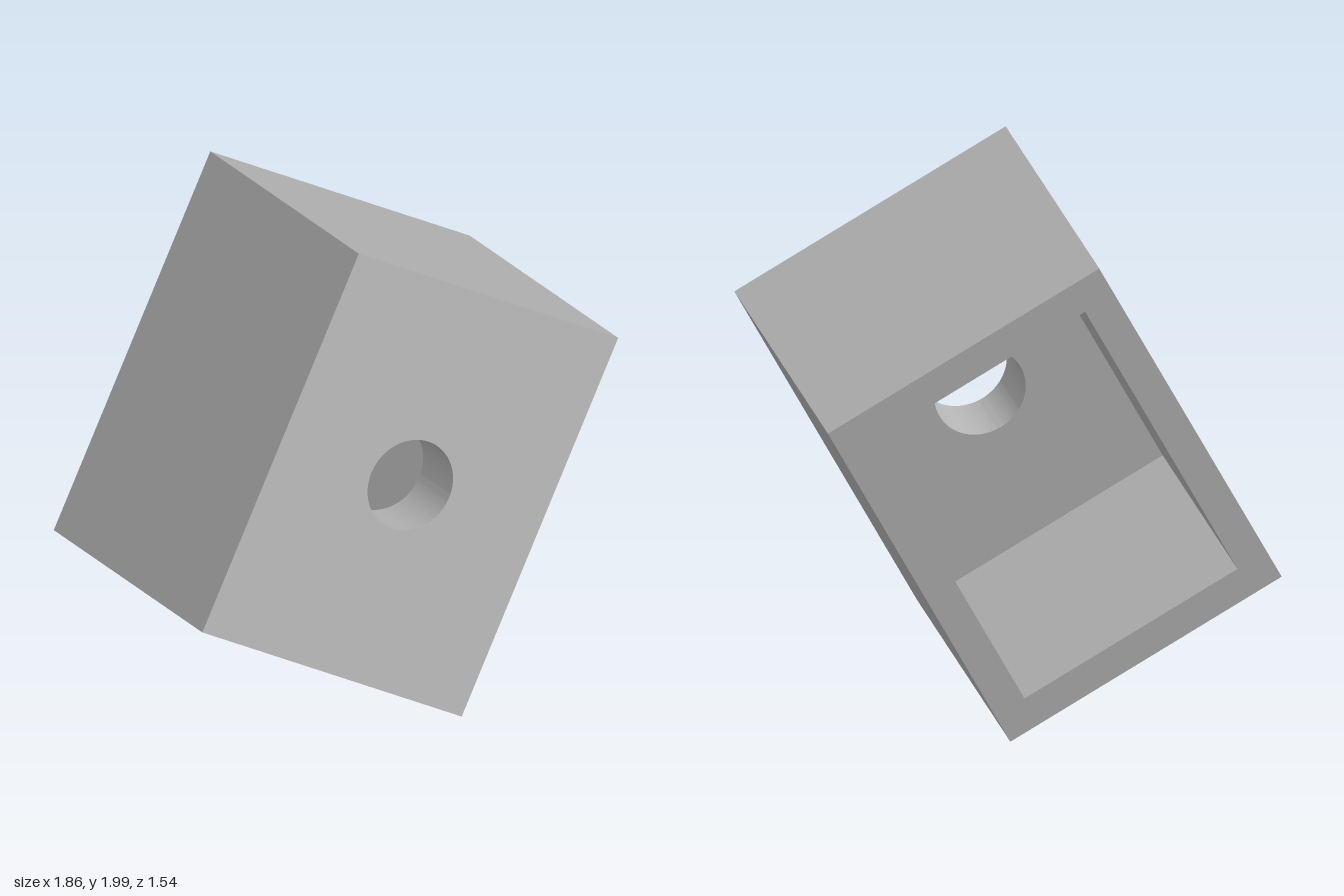
import * as THREE from 'three';
import { toCreasedNormals } from 'three/addons/utils/BufferGeometryUtils.js';

const WIDTH = 1.097, HEIGHT = 1.427, DEPTH = 1.177;
const WALL = 0.118, FRONT_WALL = 0.237, HOLE_RADIUS = 0.164;

// Centred rectangle outline, usable as a shape or as a hole
function rectangle(PathType, w, h) {
  return new PathType([
    new THREE.Vector2(-w / 2, -h / 2),
    new THREE.Vector2(w / 2, -h / 2),
    new THREE.Vector2(w / 2, h / 2),
    new THREE.Vector2(-w / 2, h / 2),
  ]);
}

// Outer rectangle with one opening, extruded from z0 to z1
function pierced(name, opening, z0, z1, material) {
  const shape = rectangle(THREE.Shape, WIDTH, HEIGHT);
  shape.holes.push(opening);
  const geometry = new THREE.ExtrudeGeometry(shape, {
    depth: z1 - z0, bevelEnabled: false, curveSegments: 64,
  });
  geometry.translate(0, 0, z0);
  const mesh = new THREE.Mesh(toCreasedNormals(geometry, 0.5), material);
  mesh.name = name;
  return mesh;
}

export function createModel() {
  const grey = new THREE.MeshStandardMaterial({ color: 0xb3b3b3 });
  grey.name = 'grey';

  const box = new THREE.Group();
  box.name = 'hollowBox';
  const seam = DEPTH / 2 - FRONT_WALL;

  // Thick front wall with a round hole
  const hole = new THREE.Path().absarc(0, 0, HOLE_RADIUS, 0, Math.PI * 2, true);
  box.add(pierced('frontWall', hole, seam, DEPTH / 2, grey));

  // Four side walls around the cavity, open at the back
  const cavity = rectangle(THREE.Path, WIDTH - 2 * WALL, HEIGHT - 2 * WALL);
  box.add(pierced('sideWalls', cavity, -DEPTH / 2, seam, grey));

  // Tilt the box so that it balances on one corner
  const right = new THREE.Vector3(0.91, -0.55, 0.27).normalize();
  const forward = right.clone().cross(new THREE.Vector3(0.76, 1.2, -0.135)).normalize();
  const up = forward.clone().cross(right);
  box.quaternion.setFromRotationMatrix(new THREE.Matrix4().makeBasis(right, up, forward));
  box.position.y = 1;

  const model = new THREE.Group();
  model.name = 'tiltedHollowBox';
  model.add(box);
  return model;
}
